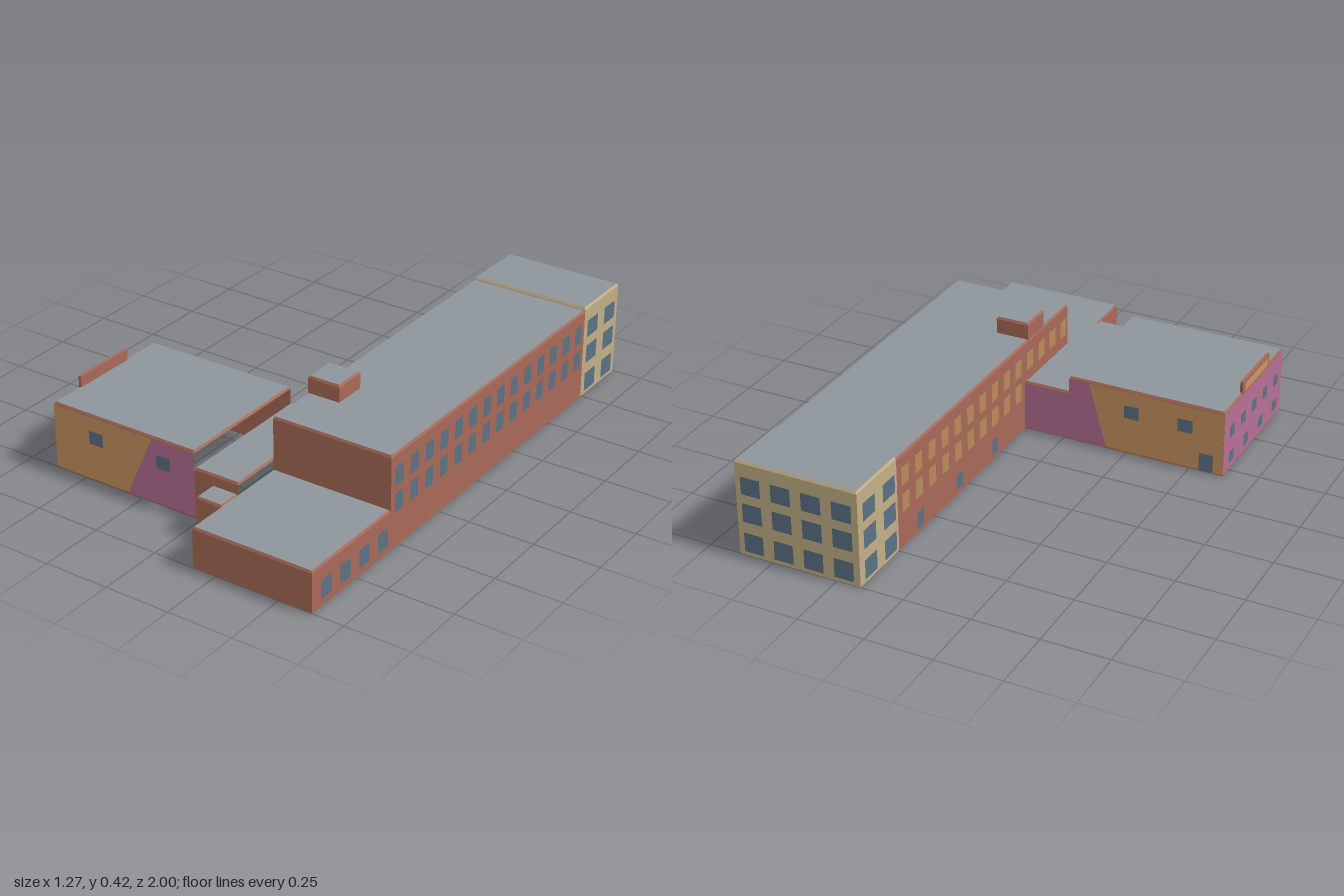
import * as THREE from 'three';

const mat = (color, side = THREE.FrontSide) => new THREE.MeshStandardMaterial({ color, side });
const brickWall = mat(0xa86a58, THREE.DoubleSide);
const tanWall = mat(0xc4b088, THREE.DoubleSide);
const brick = mat(0xa86a58);
const tan = mat(0xc4b088);
const roofGrey = mat(0x8d959b);
const glass = mat(0x5b7285);
const amber = mat(0xb98a58);
const orange = mat(0xc99560);
const purple = mat(0xb86f95);

// Each side: turn about y, axis it faces, and sign from world coordinate to local u
const SIDES = {
  front: { turn: 0, axis: 'z', out: 1, u: 1 },
  back: { turn: Math.PI, axis: 'z', out: -1, u: -1 },
  left: { turn: Math.PI / 2, axis: 'x', out: 1, u: -1 },
  right: { turn: -Math.PI / 2, axis: 'x', out: -1, u: 1 },
};

// Flat polygon on a side; points are [x or z, y] in world units
function panel(parent, name, side, at, points, material, lift = 0) {
  const s = SIDES[side];
  const shape = new THREE.Shape(points.map(([c, y]) => new THREE.Vector2(c * s.u, y)));
  const mesh = new THREE.Mesh(new THREE.ShapeGeometry(shape), material);
  mesh.name = name;
  mesh.rotation.y = s.turn;
  mesh.position[s.axis] = at + s.out * lift;
  parent.add(mesh);
}

const rect = (c0, c1, y0, y1) => [[c0, y0], [c1, y0], [c1, y1], [c0, y1]];

// Rows of windows on one side, given their centres, width and [bottom, top] rows
function windows(parent, side, at, centres, width, rows, material = glass) {
  for (const [y0, y1] of rows)
    for (const c of centres)
      panel(parent, 'window', side, at, rect(c - width / 2, c + width / 2, y0, y1), material, 0.0035);
}

const spread = (a, b, n) => Array.from({ length: n }, (_, i) => a + ((b - a) * i) / (n - 1));

// Open-bottomed block: thin walls below a roof slab with a bevelled edge
function block(parent, name, [x0, x1], [z0, z1], [y0, y1], opts = {}) {
  const { wall = brickWall, trim = brick, skip = [], slab = 0.009 } = opts;
  const group = new THREE.Group();
  group.name = name;
  const at = { front: z1, back: z0, left: x1, right: x0 };
  for (const side of Object.keys(SIDES)) {
    if (skip.includes(side)) continue;
    const [a, b] = SIDES[side].axis === 'z' ? [x0, x1] : [z0, z1];
    panel(group, name + 'Wall', side, at[side], rect(a, b, y0, y1 - slab), wall);
  }
  const geo = new THREE.BoxGeometry(x1 - x0, slab, z1 - z0);
  const p = geo.attributes.position;
  for (let i = 0; i < p.count; i++) {
    if (p.getY(i) < 0) continue;
    p.setX(i, p.getX(i) - Math.sign(p.getX(i)) * 0.005);
    p.setZ(i, p.getZ(i) - Math.sign(p.getZ(i)) * 0.005);
  }
  geo.computeVertexNormals();
  const roof = new THREE.Mesh(geo, [trim, trim, roofGrey, roofGrey, trim, trim]);
  roof.name = name + 'Roof';
  roof.position.set((x0 + x1) / 2, y1 - slab / 2, (z0 + z1) / 2);
  group.add(roof);
  parent.add(group);
  return group;
}

export function createModel() {
  const model = new THREE.Group();
  model.name = 'schoolBuilding';

  // Long main wing
  const wing = block(model, 'mainWing', [0.16, 0.63], [-0.745, 0.55], [0, 0.357], { skip: ['back'] });
  const columns = spread(0.507, -0.695, 14);
  const upper = [0.238, 0.308];
  const lower = [0.136, 0.207];
  windows(wing, 'left', 0.63, columns, 0.048, [upper, lower]);
  windows(wing, 'right', 0.16, columns, 0.048, [upper], amber);
  windows(wing, 'right', 0.16, columns.filter((z) => z < 0.16), 0.048, [lower], amber);
  windows(wing, 'right', 0.16, [-0.6, -0.32, -0.05], 0.045, [[0.02, 0.08]]);

  // Pale end block with three storeys
  const end = block(model, 'endBlock', [0.16, 0.63], [-1, -0.745], [0, 0.366], { wall: tanWall, trim: tan });
  const storeys = [[0.016, 0.09], [0.133, 0.205], [0.24, 0.308]];
  for (const [side, at] of [['left', 0.63], ['right', 0.16]])
    windows(end, side, at, [-0.803, -0.933], 0.078, storeys);
  windows(end, 'back', -1, spread(0.22, 0.57, 4), 0.075, storeys);

  // Low front block
  const low = block(model, 'frontBlock', [0.16, 0.63], [0.55, 1], [0, 0.156], { skip: ['back'] });
  windows(low, 'left', 0.63, spread(0.927, 0.6, 4), 0.058, [[0.03, 0.1]]);

  // Rooftop stair head, link and porch
  block(model, 'stairHead', [0.16, 0.288], [0.22, 0.347], [0.354, 0.422]);
  block(model, 'link', [-0.02, 0.16], [0.197, 0.75], [0, 0.197], { skip: ['left', 'right'] });
  block(model, 'porch', [0.055, 0.16], [0.75, 0.842], [0, 0.156], { skip: ['back', 'left'] });

  // Hall with painted walls, open towards the link
  const hall = block(model, 'hall', [-0.63, -0.02], [0.197, 0.75], [0, 0.26], { skip: ['left'] });
  const top = 0.25;
  const foot = 0.005;
  const paint = (side, at, pts, m) => panel(hall, 'paintedWall', side, at, pts, m, 0.0015);
  paint('front', 0.75, [[-0.63, foot], [-0.31, foot], [-0.2, top], [-0.63, top]], orange);
  paint('front', 0.75, [[-0.31, foot], [-0.02, foot], [-0.02, top], [-0.2, top]], purple);
  paint('back', 0.197, [[-0.63, foot], [-0.17, foot], [-0.1, top], [-0.63, top]], orange);
  paint('back', 0.197, [[-0.17, foot], [0.16, foot], [0.16, 0.188], [-0.02, 0.188], [-0.02, top], [-0.1, top]], purple);
  paint('right', -0.63, rect(0.197, 0.75, foot, top), purple);
  windows(hall, 'front', 0.75, [-0.445, -0.152], 0.06, [[0.145, 0.196]]);
  windows(hall, 'back', 0.197, [-0.27, -0.48], 0.058, [[0.145, 0.196]]);
  panel(hall, 'backDoor', 'back', 0.197, rect(-0.592, -0.538, foot, 0.075), glass, 0.0035);
  windows(hall, 'right', -0.63, spread(0.265, 0.685, 5), 0.045, [[0.135, 0.18]]);
  windows(hall, 'right', -0.63, spread(0.265, 0.685, 4), 0.045, [[0.03, 0.075]]);

  // Raised parapet with a coloured panel
  const parapet = new THREE.Mesh(new THREE.BoxGeometry(0.011, 0.052, 0.255), brick);
  parapet.name = 'parapet';
  parapet.position.set(-0.6245, 0.276, 0.488);
  hall.add(parapet);
  panel(hall, 'parapetPanel', 'right', -0.63, rect(0.378, 0.598, 0.258, 0.292), orange, 0.002);

  return model;
}
